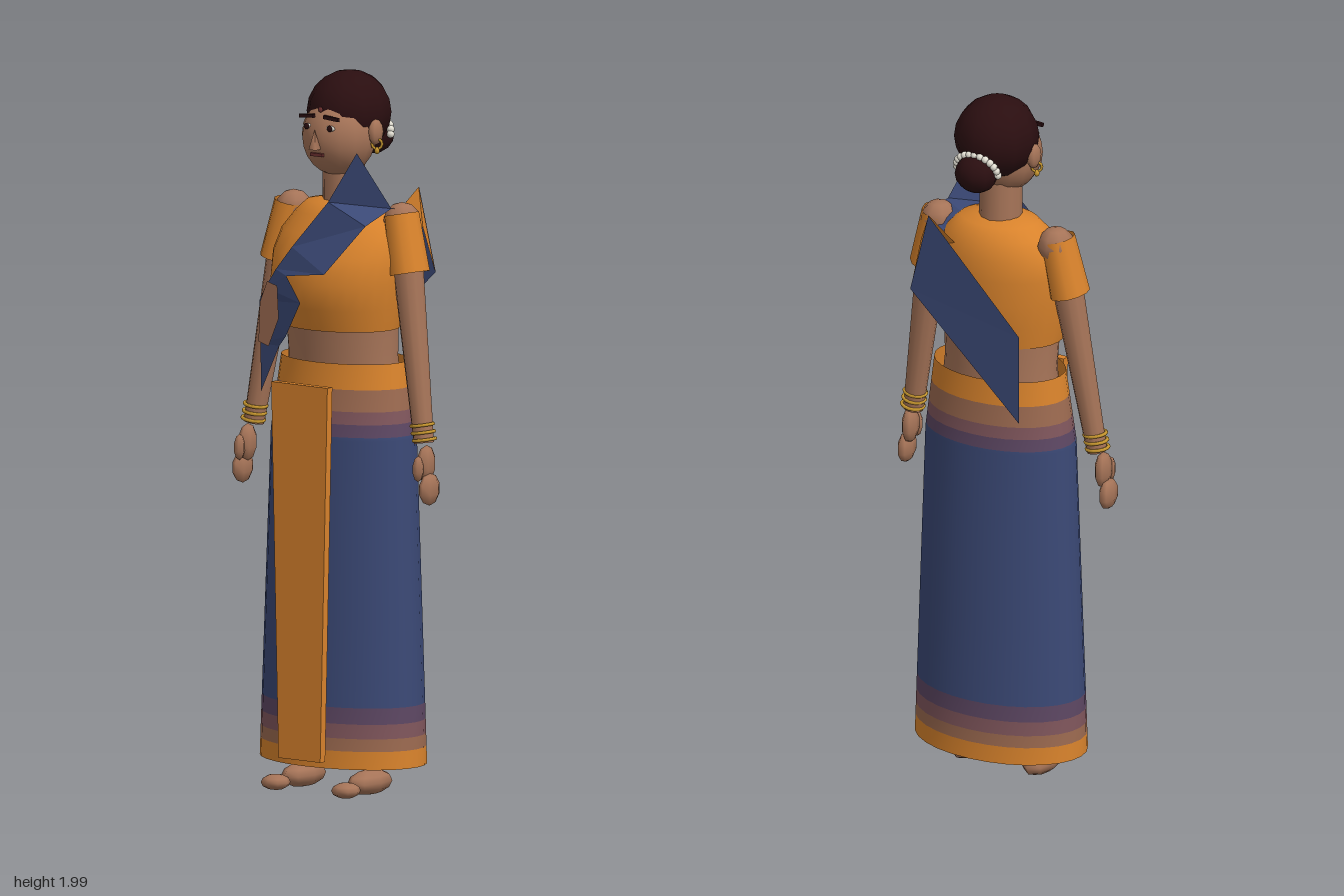
import * as THREE from 'three';

const mat = (name, color) => {
  const m = new THREE.MeshStandardMaterial({ color, side: THREE.DoubleSide });
  m.name = name;
  return m;
};

export function createModel() {
  const skin = mat('skin', 0xa67458), hair = mat('hair', 0x2a0e10), orange = mat('orange cloth', 0xd9832c),
    blue = mat('blue cloth', 0x3b4976), tan = mat('tan band', 0x9c6a50), mauve = mat('mauve band', 0x80565c),
    purple = mat('purple band', 0x5d4763), gold = mat('gold', 0xc9982f), pearl = mat('pearl', 0xe8e4d8),
    lip = mat('lip', 0x6e3030);
  const model = new THREE.Group();

  const add = (name, geo, m, pos = [0, 0, 0]) => {
    const mesh = new THREE.Mesh(geo, m);
    mesh.name = name;
    mesh.position.set(...pos);
    model.add(mesh);
    return mesh;
  };
  const ball = (name, m, pos, r, w = 10, h = 8) => {
    const g = new THREE.SphereGeometry(1, w, h);
    g.scale(...r);
    return add(name, g, m, pos);
  };
  // Tapered round limb between two points
  const limb = (name, m, a, b, ra, rb, open = false) => {
    const A = new THREE.Vector3(...a), B = new THREE.Vector3(...b), d = B.clone().sub(A);
    const mesh = add(name, new THREE.CylinderGeometry(rb, ra, d.length(), 12, 1, open), m);
    mesh.position.copy(A).add(B).multiplyScalar(0.5);
    mesh.quaternion.setFromUnitVectors(new THREE.Vector3(0, 1, 0), d.normalize());
    return mesh;
  };
  // Skin over elliptical rings [y, rx, rz, cz], bottom to top
  const loft = (name, m, rings, n = 28) => {
    const p = [], idx = [];
    rings.forEach(([y, rx, rz, cz], k) => {
      for (let i = 0; i < n; i++) {
        const t = i / n * Math.PI * 2;
        p.push(rx * Math.cos(t), y, cz + rz * Math.sin(t));
        if (k === 0) continue;
        const a = (k - 1) * n + i, a1 = (k - 1) * n + (i + 1) % n;
        idx.push(a, a + n, a1, a1, a + n, a1 + n);
      }
    });
    const g = new THREE.BufferGeometry();
    g.setAttribute('position', new THREE.Float32BufferAttribute(p, 3));
    g.setIndex(idx);
    g.computeVertexNormals();
    return add(name, g, m);
  };
  // Flat-sided cloth through pairs of edge points
  const cloth = (name, m, pairs) => {
    const p = [];
    for (let i = 0; i + 1 < pairs.length; i++) {
      const [a, b] = pairs[i], [c, d] = pairs[i + 1];
      p.push(...a, ...c, ...b, ...b, ...c, ...d);
    }
    const g = new THREE.BufferGeometry();
    g.setAttribute('position', new THREE.Float32BufferAttribute(p, 3));
    g.computeVertexNormals();
    return add(name, g, m);
  };

  // Long skirt, one piece per coloured band
  const profile = [[0.095, 0.257, 0.174, -0.02], [1.0, 0.225, 0.15, -0.022], [1.21, 0.195, 0.135, -0.027]];
  const ring = y => {
    const [a, b] = y <= 1 ? [profile[0], profile[1]] : [profile[1], profile[2]];
    const t = (y - a[0]) / (b[0] - a[0]);
    return a.map((v, i) => v + (b[i] - v) * t);
  };
  const levels = [0.095, 0.145, 0.18, 0.22, 0.265, 1.01, 1.045, 1.08, 1.14, 1.21];
  [orange, tan, mauve, purple, blue, purple, mauve, tan, orange].forEach((m, i) => {
    const a = levels[i], b = levels[i + 1];
    loft('skirtBand', m, (i === 4 ? [a, 0.5, 0.75, 1, b] : [a, b]).map(ring));
  });

  // Front pleat panel, tapering to the hem
  const panel = new THREE.Shape([[-0.05, 0.12], [0.095, 0.12], [0.12, 1.16], [-0.075, 1.16]].map(q => new THREE.Vector2(...q)));
  add('pleatPanel', new THREE.ExtrudeGeometry(panel, { depth: 0.022, bevelEnabled: false }), orange, [0, 0, 0.183]);

  // Waist, blouse and neck
  loft('waist', skin, [[1.12, 0.175, 0.12, -0.025], [1.22, 0.165, 0.122, -0.02], [1.34, 0.17, 0.13, -0.015]]);
  loft('blouse', orange, [[1.3, 0.178, 0.137, -0.008], [1.36, 0.19, 0.153, -0.004], [1.43, 0.2, 0.166, 0],
    [1.5, 0.202, 0.155, -0.008], [1.56, 0.19, 0.137, -0.025], [1.61, 0.15, 0.11, -0.03],
    [1.64, 0.115, 0.085, -0.028], [1.65, 0.06, 0.045, -0.025]]);
  limb('neck', skin, [0, 1.6, -0.025], [0, 1.78, -0.02], 0.06, 0.058);

  // Arms, legs and feet on both sides
  for (const s of [-1, 1]) {
    ball('shoulder', skin, [s * 0.188, 1.6, -0.04], [0.052, 0.052, 0.052], 8, 6);
    limb('sleeve', orange, [s * 0.225, 1.46, -0.027], [s * 0.19, 1.62, -0.035], 0.054, 0.047, true).scale.z = 1.12;
    limb('arm', skin, [s * 0.295, 1.0, 0], [s * 0.205, 1.56, -0.033], 0.028, 0.045);
    for (let i = 0; i < 3; i++) {
      const bangle = add('bangle', new THREE.TorusGeometry(0.031, 0.005, 6, 14), gold, [s * (0.297 - i * 0.004), 1.01 + i * 0.02, 0]);
      bangle.rotation.set(Math.PI / 2, s * 0.16, 0);
    }
    ball('palm', skin, [s * 0.31, 0.945, 0.008], [0.021, 0.052, 0.036], 7, 5);
    ball('fingers', skin, [s * 0.324, 0.876, 0.012], [0.02, 0.045, 0.042], 7, 5);
    ball('thumb', skin, [s * 0.31, 0.935, 0.045], [0.016, 0.036, 0.018], 6, 5);
    limb('leg', skin, [s * 0.11, 0.105, -0.02], [s * 0.1, 1.1, -0.02], 0.04, 0.07);
    ball('foot', skin, [s * 0.115, 0.045, 0.01], [0.042, 0.035, 0.088], 8, 6);
    ball('toes', skin, [s * 0.122, 0.036, 0.125], [0.042, 0.022, 0.04], 8, 6);
  }

  // Draped sash: front sheet, over the shoulder, back sheet
  cloth('sashFront', blue, [
    [[0.14, 1.8, 0.1], [0.19, 1.64, 0.01]],
    [[0.06, 1.66, 0.125], [0.17, 1.6, 0.1]],
    [[-0.04, 1.53, 0.158], [0.075, 1.465, 0.162]],
    [[-0.09, 1.465, 0.165], [-0.05, 1.45, 0.17]],
    [[-0.13, 1.41, 0.162], [0, 1.38, 0.172]],
    [[-0.16, 1.37, 0.148], [-0.06, 1.28, 0.16]],
    [[-0.16, 1.25, 0.143], [-0.09, 1.25, 0.15]],
    [[-0.16, 1.115, 0.142], [-0.16, 1.115, 0.142]]]);
  const motif = new THREE.Shape([[-0.145, 1.26], [-0.11, 1.25], [-0.075, 1.33], [-0.08, 1.42], [-0.115, 1.43], [-0.14, 1.37]]
    .map(q => new THREE.Vector2(...q)));
  add('sashMotif', new THREE.ShapeGeometry(motif), tan, [0, 0, 0.172]);
  cloth('sashShoulder', blue, [
    [[0.14, 1.8, 0.1], [0.19, 1.64, 0.01]],
    [[0.09, 1.64, 0.04], [0.19, 1.64, 0]],
    [[0.08, 1.63, -0.06], [0.19, 1.61, -0.06]],
    [[0.07, 1.57, -0.13], [0.19, 1.57, -0.13]]]);
  cloth('sashFold', orange, [
    [[0.07, 1.57, -0.13], [0.19, 1.57, -0.13]],
    [[0.13, 1.67, -0.188], [0.19, 1.44, -0.185]]]);
  cloth('sashBack', blue, [
    [[0.13, 1.67, -0.19], [0.19, 1.44, -0.187]],
    [[-0.16, 1.37, -0.187], [-0.16, 1.115, -0.187]]]);

  // Head and hair
  ball('face', skin, [0, 1.825, 0], [0.104, 0.112, 0.102], 14, 12);
  ball('hair', hair, [0, 1.885, -0.045], [0.115, 0.115, 0.122], 12, 10);
  ball('bun', hair, [0, 1.81, -0.15], [0.062, 0.055, 0.055], 10, 8);
  for (let i = 0; i <= 12; i++) {
    const t = Math.PI * i / 12;
    ball('flower', pearl, [0.066 * Math.cos(t), 1.815 + 0.05 * Math.sin(t), -0.145 - 0.015 * Math.sin(t)], [0.011, 0.011, 0.011], 7, 5);
  }

  // Facial features and earrings
  for (const s of [-1, 1]) {
    ball('ear', skin, [s * 0.108, 1.84, -0.025], [0.016, 0.036, 0.028], 8, 6);
    add('earringHoop', new THREE.TorusGeometry(0.014, 0.004, 6, 10), gold, [s * 0.115, 1.808, -0.022]).rotation.y = 0.6;
    ball('earringDrop', gold, [s * 0.115, 1.79, -0.022], [0.008, 0.01, 0.008], 7, 5);
    add('eyebrow', new THREE.BoxGeometry(0.05, 0.01, 0.009), hair, [s * 0.042, 1.885, 0.088]).rotation.z = -s * 0.08;
    ball('eyeWhite', pearl, [s * 0.04, 1.857, 0.089], [0.016, 0.008, 0.005], 8, 6);
    ball('pupil', hair, [s * 0.04, 1.857, 0.093], [0.009, 0.009, 0.004], 8, 6);
  }
  add('nose', new THREE.ConeGeometry(0.017, 0.055, 4), skin, [0, 1.825, 0.108]).rotation.y = Math.PI / 4;
  add('mouth', new THREE.BoxGeometry(0.042, 0.009, 0.009), lip, [0, 1.782, 0.098]);
  ball('foreheadDot', lip, [0, 1.905, 0.082], [0.008, 0.008, 0.005], 8, 6);
  return model;
}
